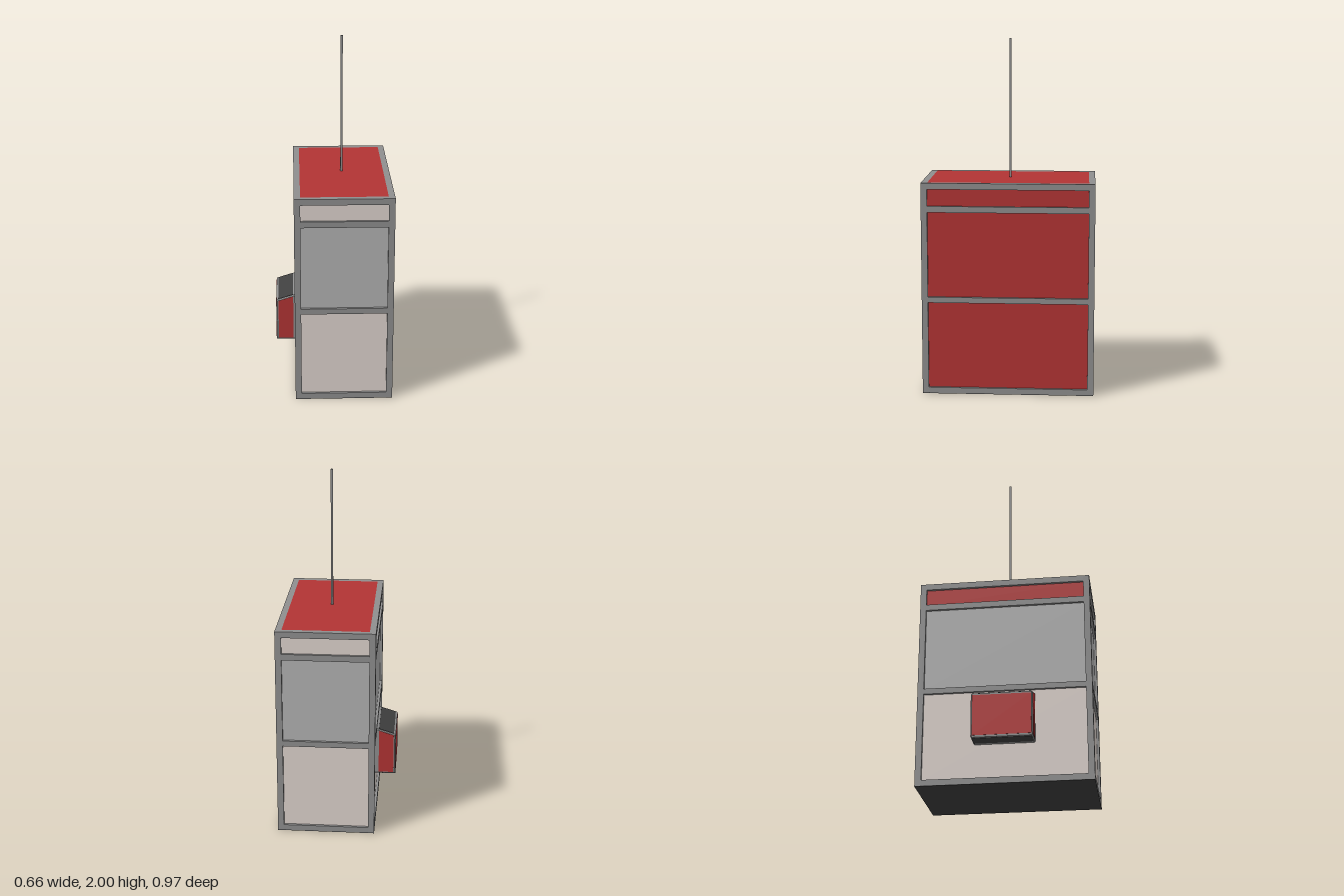
import * as THREE from 'three';

const mat = (color) => new THREE.MeshStandardMaterial({ color });

export function createModel() {
  const model = new THREE.Group();
  const grey = mat(0x8f8f8f), red = mat(0xb33434), beige = mat(0xded4ce);
  const glass = mat(0xb2b2b2), dark = mat(0x404040);

  // box given by its min and max corners
  function box(name, material, x0, x1, y0, y1, z0, z1, parent = model) {
    const m = new THREE.Mesh(new THREE.BoxGeometry(x1 - x0, y1 - y0, z1 - z0), material);
    m.position.set((x0 + x1) / 2, (y0 + y1) / 2, (z0 + z1) / 2);
    m.name = name;
    parent.add(m);
    return m;
  }

  const X0 = -0.223, X1 = 0.328, Z = 0.485, H = 1.21, T = 0.035;
  const xi0 = X0 + T, xi1 = X1 - T, zi = Z - T, base = 0.002;

  // floor plate and roof panel
  box('floor', dark, X0, X1, 0, base, -Z, Z);
  box('roof', red, xi0, xi1, H - 0.02, H, -zi, zi);

  // corner posts
  for (const [a, b] of [[X0, xi0], [xi1, X1]]) {
    box('cornerPost', grey, a, b, base, H, zi, Z);
    box('cornerPost', grey, a, b, base, H, -Z, -zi);
  }

  // horizontal rails on all four sides
  for (const [a, b] of [[base, T], [0.53, 0.562], [1.045, 1.08], [H - T, H]]) {
    box('frontRail', grey, xi0, xi1, a, b, zi, Z);
    box('backRail', grey, xi0, xi1, a, b, -Z, -zi);
    box('leftRail', grey, xi1, X1, a, b, -zi, zi);
    box('rightRail', grey, X0, xi0, a, b, -zi, zi);
  }

  // recessed panels: height range, front/back, +x side, -x side
  const d = 0.015, t = 0.012;
  const rows = [
    [T, 0.53, beige, red, beige],
    [0.562, 1.045, glass, red, glass],
    [1.08, H - T, beige, red, red],
  ];
  for (const [a, b, ends, left, right] of rows) {
    box('frontPanel', ends, xi0, xi1, a, b, Z - d - t, Z - d);
    box('backPanel', ends, xi0, xi1, a, b, -Z + d, -Z + d + t);
    box('leftPanel', left, X1 - d - t, X1 - d, a, b, -zi, zi);
    box('rightPanel', right, X0 + d, X0 + d + t, a, b, -zi, zi);
  }

  // aerial on the roof
  box('aerial', grey, 0.047, 0.059, H, 2, -0.006, 0.006);

  // side box with sloping lid
  const sideBox = new THREE.Group();
  sideBox.name = 'sideBox';
  model.add(sideBox);
  const polygon = (pts) => new THREE.Shape(pts.map((p) => new THREE.Vector2(...p)));
  const bev = 0.006, hz = 0.168;
  const shellGeo = new THREE.ExtrudeGeometry(
    polygon([[-0.324, 0.231], [-0.2, 0.231], [-0.2, 0.51], [-0.324, 0.471]]),
    { depth: 2 * (hz - bev), bevelThickness: bev, bevelSize: bev, bevelSegments: 1 });
  shellGeo.translate(0, 0, -hz + bev);
  const shell = new THREE.Mesh(shellGeo, grey);
  shell.name = 'sideBoxShell';
  sideBox.add(shell);

  // thin plates on each face of the side box
  const cheekGeo = new THREE.ExtrudeGeometry(
    polygon([[-0.318, 0.236], [-0.232, 0.236], [-0.232, 0.498], [-0.318, 0.471]]),
    { depth: 2 * hz + 0.003, bevelEnabled: false });
  cheekGeo.translate(0, 0, -hz - 0.0015);
  const cheeks = new THREE.Mesh(cheekGeo, red);
  cheeks.name = 'sideBoxCheeks';
  sideBox.add(cheeks);
  box('sideBoxFace', red, -0.3315, -0.325, 0.236, 0.466, -0.16, 0.16, sideBox);
  box('sideBoxBase', dark, -0.318, -0.232, 0.2235, 0.23, -0.16, 0.16, sideBox);
  const slope = Math.atan2(0.039, 0.124);
  const lid = box('sideBoxLid', dark, -0.0455, 0.0455, -0.003, 0.003, -0.16, 0.16, sideBox);
  lid.position.set(-0.275, 0.4912, 0);
  lid.rotation.z = slope;

  return model;
}
